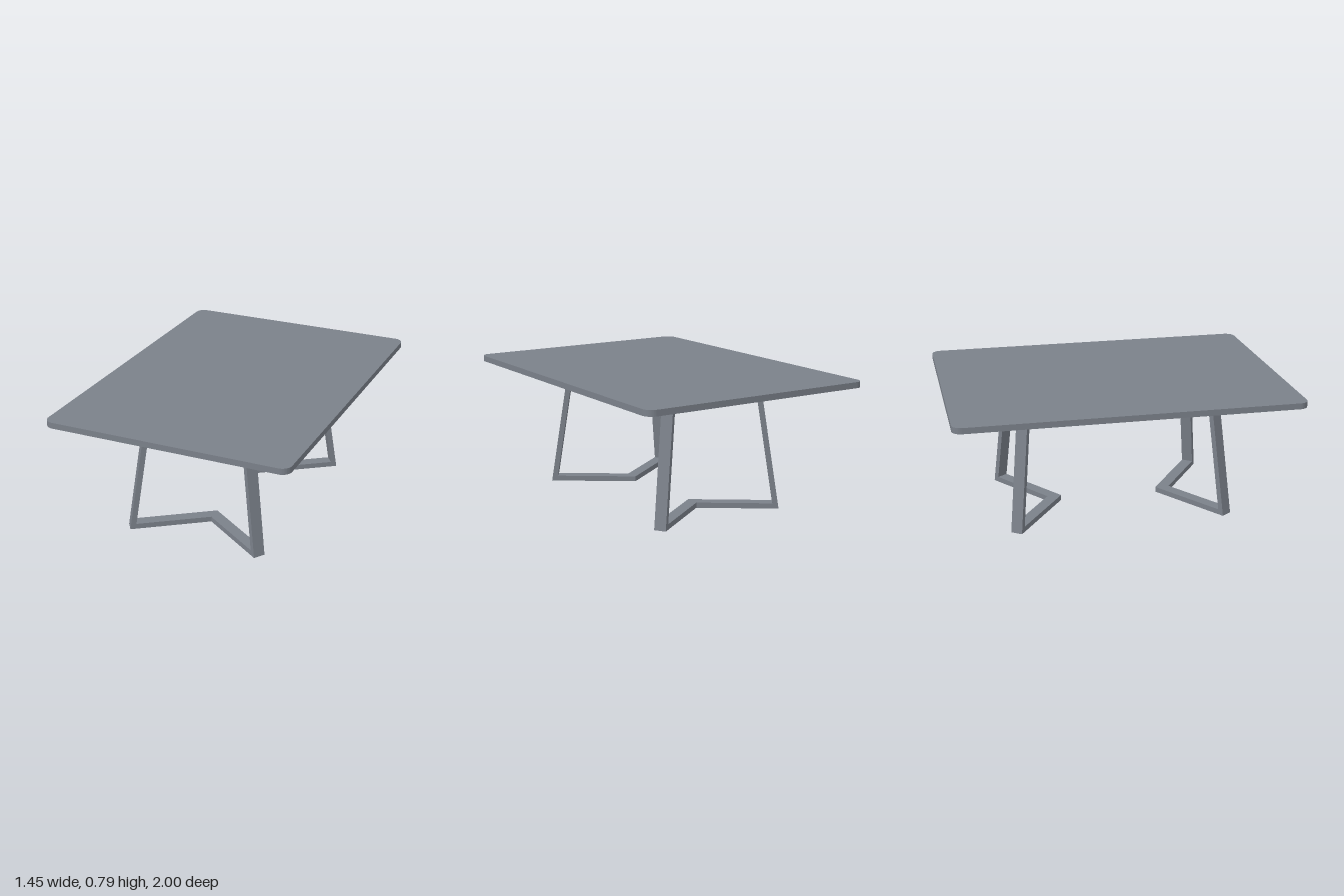
import * as THREE from 'three';
import { toCreasedNormals } from 'three/addons/utils/BufferGeometryUtils.js';

const material = new THREE.MeshStandardMaterial({ color: 0x7b818a });
const LEG_H = 0.752, TOP_T = 0.035;

// Rounded rectangular slab
function createTop() {
  const hx = 0.725, hz = 1, r = 0.055;
  const s = new THREE.Shape();
  s.absarc(hx - r, hz - r, r, 0, Math.PI / 2);
  s.absarc(-hx + r, hz - r, r, Math.PI / 2, Math.PI);
  s.absarc(-hx + r, -hz + r, r, Math.PI, Math.PI * 1.5);
  s.absarc(hx - r, -hz + r, r, Math.PI * 1.5, Math.PI * 2);
  s.closePath();
  const geo = new THREE.ExtrudeGeometry(s, { depth: TOP_T, bevelEnabled: false, curveSegments: 8 });
  geo.rotateX(-Math.PI / 2).translate(0, LEG_H, 0);
  const mesh = new THREE.Mesh(toCreasedNormals(geo, Math.PI / 6), material);
  mesh.name = 'tableTop';
  return mesh;
}

// One wing of a V-shaped frame: a C of flat bars, mitred at x = 0 (side is +1 or -1)
function createWing(side) {
  const apex = 0.3, width = 0.07, bar = 0.032;
  const angle = Math.atan(0.7), c = Math.cos(angle), n = Math.sin(angle);
  const bottom = 0.438 / c, top = 0.34 / c;
  const legX = (y) => bottom + (top - bottom) * y / LEG_H;
  const points = [
    [0, 0], [bottom, 0], [top, LEG_H], [0, LEG_H],
    [0, LEG_H - bar], [legX(LEG_H - bar) - bar, LEG_H - bar], [legX(bar) - bar, bar], [0, bar],
  ];
  const shape = new THREE.Shape(points.map(([s, y]) => new THREE.Vector2(side * s, y)));
  const geo = new THREE.ExtrudeGeometry(shape, { depth: width, bevelEnabled: false });

  // Swing the wing outwards and cut its inner ends to the mitre
  const p = geo.attributes.position;
  for (let i = 0; i < p.count; i++) {
    const s = p.getX(i), d = p.getZ(i);
    if (Math.abs(s) < 1e-6) p.setXYZ(i, 0, p.getY(i), apex + d / c);
    else p.setXYZ(i, s * c - side * d * n, p.getY(i), apex + side * s * n + d * c);
  }
  geo.computeVertexNormals();
  const mesh = new THREE.Mesh(geo, material);
  mesh.name = side > 0 ? 'leftWing' : 'rightWing';
  return mesh;
}

export function createModel() {
  const model = new THREE.Group();
  model.name = 'table';
  model.add(createTop());

  // Front and back leg frames
  ['frontLegFrame', 'backLegFrame'].forEach((name, i) => {
    const frame = new THREE.Group();
    frame.name = name;
    frame.add(createWing(1), createWing(-1));
    frame.rotation.y = i * Math.PI;
    model.add(frame);
  });
  return model;
}
